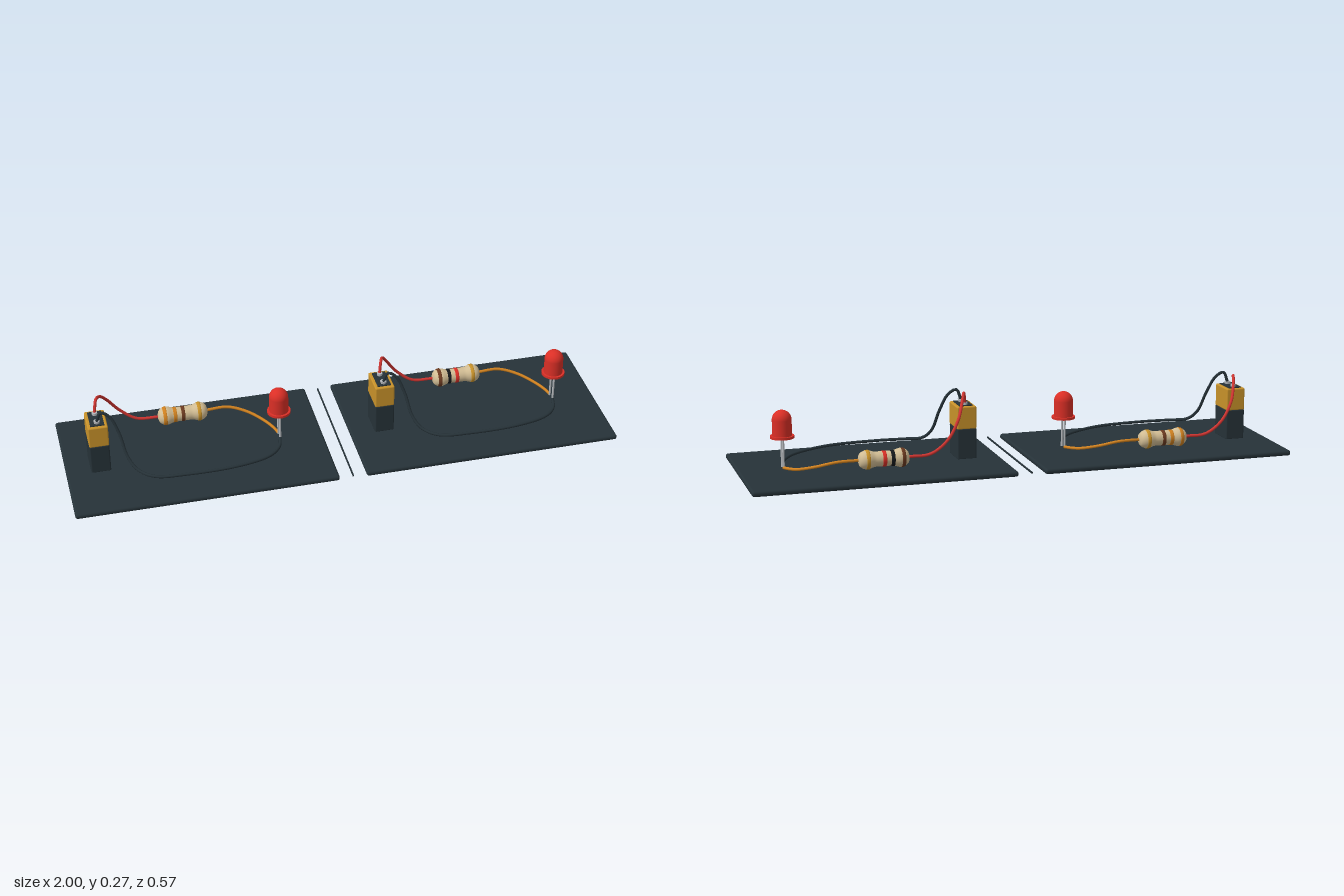
import * as THREE from 'three';
import { RoundedBoxGeometry } from 'three/addons/geometries/RoundedBoxGeometry.js';

const paint = (name, color) => {
  const m = new THREE.MeshStandardMaterial({ color });
  m.name = name;
  return m;
};

const mats = {
  slate: paint('slate', 0x263238),
  gold: paint('gold', 0xc8922a),
  red: paint('red', 0xdb2f26),
  wireRed: paint('wire red', 0xcf3430),
  silver: paint('silver', 0xb4b8bc),
  tan: paint('tan', 0xd2bd94),
  orange: paint('orange', 0xd0811f),
  brown: paint('brown', 0x6b3a20),
  black: paint('black', 0x15181b),
};

function add(parent, name, geometry, material, x = 0, y = 0, z = 0) {
  const mesh = new THREE.Mesh(geometry, material);
  mesh.name = name;
  mesh.position.set(x, y, z);
  parent.add(mesh);
  return mesh;
}

const v2 = (x, y) => new THREE.Vector2(x, y);

// Smooth wire through a few points
function wire(parent, name, points, material, radius = 0.0055) {
  const curve = new THREE.CatmullRomCurve3(points.map((p) => new THREE.Vector3(...p)), false, 'centripetal');
  add(parent, name, new THREE.TubeGeometry(curve, 90, radius, 10), material);
}

// Dumbbell radius of the resistor along its half length of 0.092
function resistorRadius(x) {
  const a = Math.abs(x);
  if (a > 0.06) return 0.008 + 0.026 * Math.sqrt(Math.max(0, 1 - ((a - 0.06) / 0.032) ** 2));
  const t = THREE.MathUtils.smoothstep(a, 0.03, 0.06);
  return 0.027 + 0.007 * t;
}

// Lathe of the resistor between two stations, optionally raised for a band
function resistorSlice(from, to, steps, raise = 0) {
  const points = [];
  for (let i = 0; i <= steps; i++) {
    const x = from + ((to - from) * i) / steps;
    points.push(v2(resistorRadius(x) + raise, x));
  }
  if (raise) {
    points.unshift(v2(resistorRadius(from) - 0.001, from));
    points.push(v2(resistorRadius(to) - 0.001, to));
  } else {
    points.unshift(v2(0, from));
    points.push(v2(0, to));
  }
  return new THREE.LatheGeometry(points, 32);
}

function buildResistor(bands) {
  const g = new THREE.Group();
  g.name = 'resistor';
  add(g, 'resistorBody', resistorSlice(-0.092, 0.092, 48), mats.tan);
  // Lathe runs along y, which turns to +x
  [-0.068, -0.03, 0.0, 0.06].forEach((x, i) => {
    add(g, 'colourBand' + (i + 1), resistorSlice(x - 0.0065, x + 0.0065, 4, 0.0012), bands[i]);
  });
  g.rotation.z = -Math.PI / 2;
  return g;
}

function buildBattery() {
  const g = new THREE.Group();
  g.name = 'battery';
  add(g, 'batteryBase', new RoundedBoxGeometry(0.072, 0.115, 0.11, 3, 0.005), mats.slate, 0, 0.0745, 0);
  add(g, 'batteryTop', new RoundedBoxGeometry(0.072, 0.084, 0.11, 3, 0.005), mats.gold, 0, 0.171, 0);
  add(g, 'terminalPlate', new THREE.BoxGeometry(0.05, 0.004, 0.088), mats.slate, 0, 0.214, 0);
  // Round and six-sided snap terminals
  add(g, 'positiveTerminal', new THREE.CylinderGeometry(0.01, 0.01, 0.012, 24), mats.silver, 0, 0.219, -0.026);
  add(g, 'negativeTerminal', new THREE.CylinderGeometry(0.012, 0.011, 0.012, 6), mats.silver, 0, 0.219, 0.026);
  return g;
}

function buildLamp() {
  const g = new THREE.Group();
  g.name = 'lamp';
  const r = 0.035;
  add(g, 'lampFlange', new THREE.CylinderGeometry(0.043, 0.043, 0.009, 40), mats.red, 0, 0.137, 0);
  add(g, 'lampBody', new THREE.CylinderGeometry(r, r, 0.06, 40, 1, true), mats.red, 0, 0.169, 0);
  add(g, 'lampDome', new THREE.SphereGeometry(r, 40, 14, 0, Math.PI * 2, 0, Math.PI / 2), mats.red, 0, 0.199, 0);
  for (const z of [0.016, -0.016]) {
    add(g, 'lampLeg', new THREE.CylinderGeometry(0.004, 0.004, 0.112, 12), mats.silver, 0, 0.079, z);
  }
  return g;
}

function buildCircuit(bands) {
  const g = new THREE.Group();
  g.name = 'circuit';
  add(g, 'board', new RoundedBoxGeometry(0.95, 0.02, 0.572, 3, 0.009), mats.slate, -0.525, 0.01, 0);

  const battery = buildBattery();
  battery.position.x = -0.875;
  const lamp = buildLamp();
  lamp.position.x = -0.21;
  const resistor = buildResistor(bands);
  resistor.position.set(-0.54, 0.071, -0.159);
  g.add(battery, lamp, resistor);

  // Battery to resistor
  wire(g, 'redWire', [
    [-0.875, 0.222, -0.028], [-0.866, 0.262, -0.045], [-0.848, 0.245, -0.09], [-0.815, 0.185, -0.147],
    [-0.77, 0.12, -0.166], [-0.71, 0.076, -0.162], [-0.63, 0.071, -0.159],
  ], mats.wireRed);
  // Resistor to lamp
  wire(g, 'orangeWire', [
    [-0.45, 0.071, -0.159], [-0.37, 0.07, -0.161], [-0.3, 0.053, -0.137], [-0.245, 0.036, -0.088],
    [-0.22, 0.03, -0.045], [-0.21, 0.027, -0.016],
  ], mats.orange);
  // Lamp back to battery
  wire(g, 'blackWire', [
    [-0.875, 0.222, 0.028], [-0.86, 0.26, 0.032], [-0.83, 0.243, 0.038], [-0.802, 0.18, 0.058],
    [-0.782, 0.1, 0.095], [-0.755, 0.065, 0.13], [-0.7, 0.054, 0.172], [-0.585, 0.052, 0.184],
    [-0.4, 0.048, 0.174], [-0.275, 0.038, 0.13], [-0.227, 0.031, 0.075], [-0.21, 0.027, 0.016],
  ], mats.slate);
  return g;
}

export function createModel() {
  const model = new THREE.Group();
  model.name = 'circuitPair';

  const first = buildCircuit([mats.orange, mats.orange, mats.brown, mats.gold]);
  const second = buildCircuit([mats.brown, mats.black, mats.red, mats.gold]);
  second.position.x = 1.05;
  model.add(first, second);

  // Thin strip between the two boards
  add(model, 'divider', new THREE.BoxGeometry(0.005, 0.005, 0.56), mats.slate, 0, 0.01, 0);
  return model;
}
